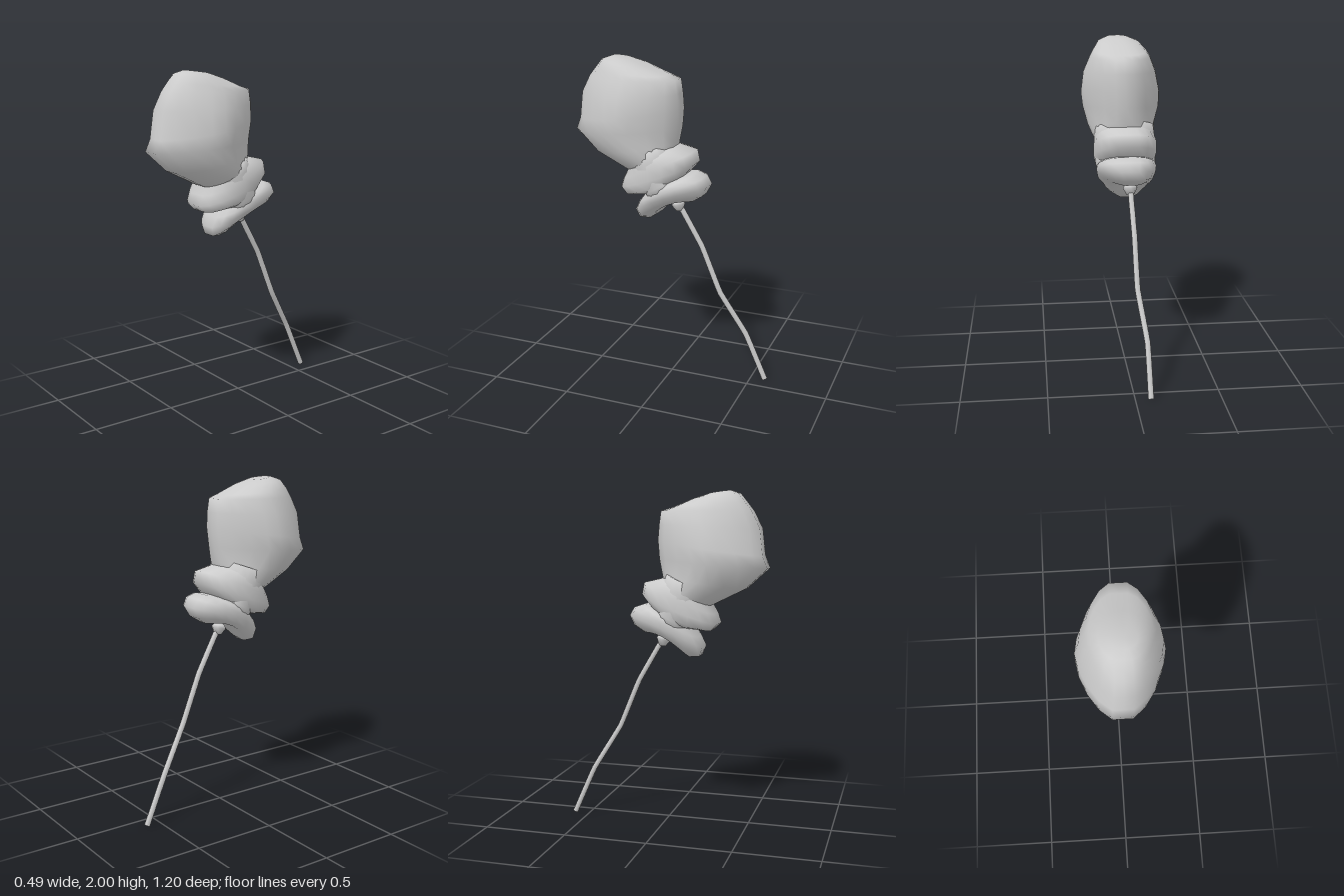
import * as THREE from 'three';

const SIDES = 20;

// Closed skin through slanted rings, blunt at front and back.
// Ring: [back z, back y, front z, front y, half width, x centre, roundness, rise of the sides]
function loft(rings) {
  const pos = [], index = [];
  const soft = (v, n) => Math.sign(v) * Math.pow(Math.abs(v), 2 / n);
  for (const [bz, by, fz, fy, w, cx, n, rise = 0] of rings) {
    for (let j = 0; j < SIDES; j++) {
      const a = (j / SIDES) * Math.PI * 2;
      const s = THREE.MathUtils.clamp(1.08 * soft(Math.cos(a), n), -1, 1);
      const t = (1 + s) / 2;
      pos.push(cx + w * soft(Math.sin(a), n), by + (fy - by) * t + rise * (1 - s * s), bz + (fz - bz) * t);
    }
  }
  for (let i = 0; i < rings.length - 1; i++) {
    for (let j = 0; j < SIDES; j++) {
      const k = (j + 1) % SIDES;
      const a = i * SIDES + j, b = i * SIDES + k;
      index.push(a, b, a + SIDES, b, b + SIDES, a + SIDES);
    }
  }
  // end caps
  for (const [row, flip] of [[0, true], [rings.length - 1, false]]) {
    const [bz, by, fz, fy, , cx, , rise = 0] = rings[row];
    const c = pos.length / 3;
    pos.push(cx, (by + fy) / 2 + rise, (bz + fz) / 2);
    for (let j = 0; j < SIDES; j++) {
      const a = row * SIDES + j, b = row * SIDES + (j + 1) % SIDES;
      if (flip) index.push(c, b, a); else index.push(c, a, b);
    }
  }
  const g = new THREE.BufferGeometry();
  g.setAttribute('position', new THREE.Float32BufferAttribute(pos, 3));
  g.setIndex(index);
  g.computeVertexNormals();
  return g;
}

export function createModel() {
  const group = new THREE.Group();
  const mat = new THREE.MeshStandardMaterial({ color: 0xcccccc });
  const add = (name, geometry) => {
    const mesh = new THREE.Mesh(geometry, mat);
    mesh.name = name;
    group.add(mesh);
    return mesh;
  };

  // lower swollen fold, arched over the knot
  add('lowerFold', loft([
    [-0.07, 1.15, 0.07, 1.07, 0.06, -0.03, 2, 0.035],
    [-0.14, 1.16, 0.14, 1.02, 0.11, -0.025, 2, 0.05],
    [-0.20, 1.20, 0.20, 1.025, 0.15, -0.02, 2, 0.05],
    [-0.23, 1.26, 0.22, 1.08, 0.175, -0.01, 2, 0.03],
    [-0.20, 1.31, 0.19, 1.14, 0.18, -0.01, 2.1, 0.01],
    [-0.14, 1.33, 0.16, 1.18, 0.175, -0.01, 2.1],
    [-0.05, 1.32, 0.14, 1.22, 0.15, -0.01, 2.1],
  ]));

  // neck filling the sides between the folds and the bulb
  add('neck', loft([
    [-0.10, 1.26, 0.13, 1.15, 0.165, -0.01, 2.3],
    [-0.05, 1.31, 0.14, 1.20, 0.182, -0.01, 2.3],
    [-0.04, 1.38, 0.18, 1.27, 0.188, -0.01, 2.3],
    [-0.02, 1.46, 0.24, 1.34, 0.186, -0.01, 2.2],
    [0.00, 1.52, 0.26, 1.42, 0.18, -0.01, 2],
  ]));

  // middle swollen fold
  add('middleFold', loft([
    [-0.04, 1.29, 0.15, 1.19, 0.16, -0.01, 2.2],
    [-0.09, 1.32, 0.27, 1.18, 0.18, -0.01, 2.2],
    [-0.15, 1.39, 0.31, 1.22, 0.192, -0.01, 2.1],
    [-0.135, 1.46, 0.29, 1.28, 0.19, -0.01, 2.1],
    [-0.03, 1.485, 0.26, 1.335, 0.18, -0.01, 2],
    [0.0, 1.5, 0.25, 1.4, 0.15, -0.01, 2],
  ]));

  // big bulb, deep front to back
  add('bulb', loft([
    [0.0, 1.40, 0.24, 1.32, 0.16, -0.01, 2],
    [-0.02, 1.47, 0.28, 1.335, 0.185, -0.01, 1.8],
    [-0.03, 1.51, 0.47, 1.43, 0.205, 0, 1.7],
    [-0.045, 1.60, 0.60, 1.55, 0.237, -0.005, 1.6],
    [-0.055, 1.71, 0.57, 1.62, 0.243, 0, 1.6],
    [-0.05, 1.80, 0.55, 1.78, 0.222, 0.005, 1.65],
    [-0.04, 1.88, 0.50, 1.88, 0.185, 0.005, 1.75],
    [0.03, 1.90, 0.46, 1.93, 0.165, 0.005, 1.9],
    [0.15, 1.95, 0.42, 1.98, 0.125, 0.01, 2],
    [0.24, 1.98, 0.37, 1.998, 0.07, 0.015, 2],
  ]));

  // bent stem
  const path = new THREE.CatmullRomCurve3([
    [-0.09, 0.007, -0.59], [-0.085, 0.3, -0.46], [-0.045, 0.57, -0.3],
    [-0.04, 0.86, -0.18], [-0.03, 1.14, -0.02],
  ].map(p => new THREE.Vector3(...p)), false, 'catmullrom', 0.12);
  add('stem', new THREE.TubeGeometry(path, 28, 0.017, 6));
  const end = add('stemEnd', new THREE.CircleGeometry(0.017, 6));
  end.position.copy(path.getPointAt(0));
  end.quaternion.setFromUnitVectors(new THREE.Vector3(0, 0, 1), path.getTangentAt(0).negate());

  // flared knot where the stem meets the folds
  const knot = add('knot', new THREE.LatheGeometry([
    [0, -0.035], [0.022, -0.035], [0.044, 0.005], [0.036, 0.02], [0, 0.045],
  ].map(p => new THREE.Vector2(...p)), 8));
  knot.position.set(-0.03, 1.113, -0.03);
  knot.rotation.x = 0.2;

  return group;
}
